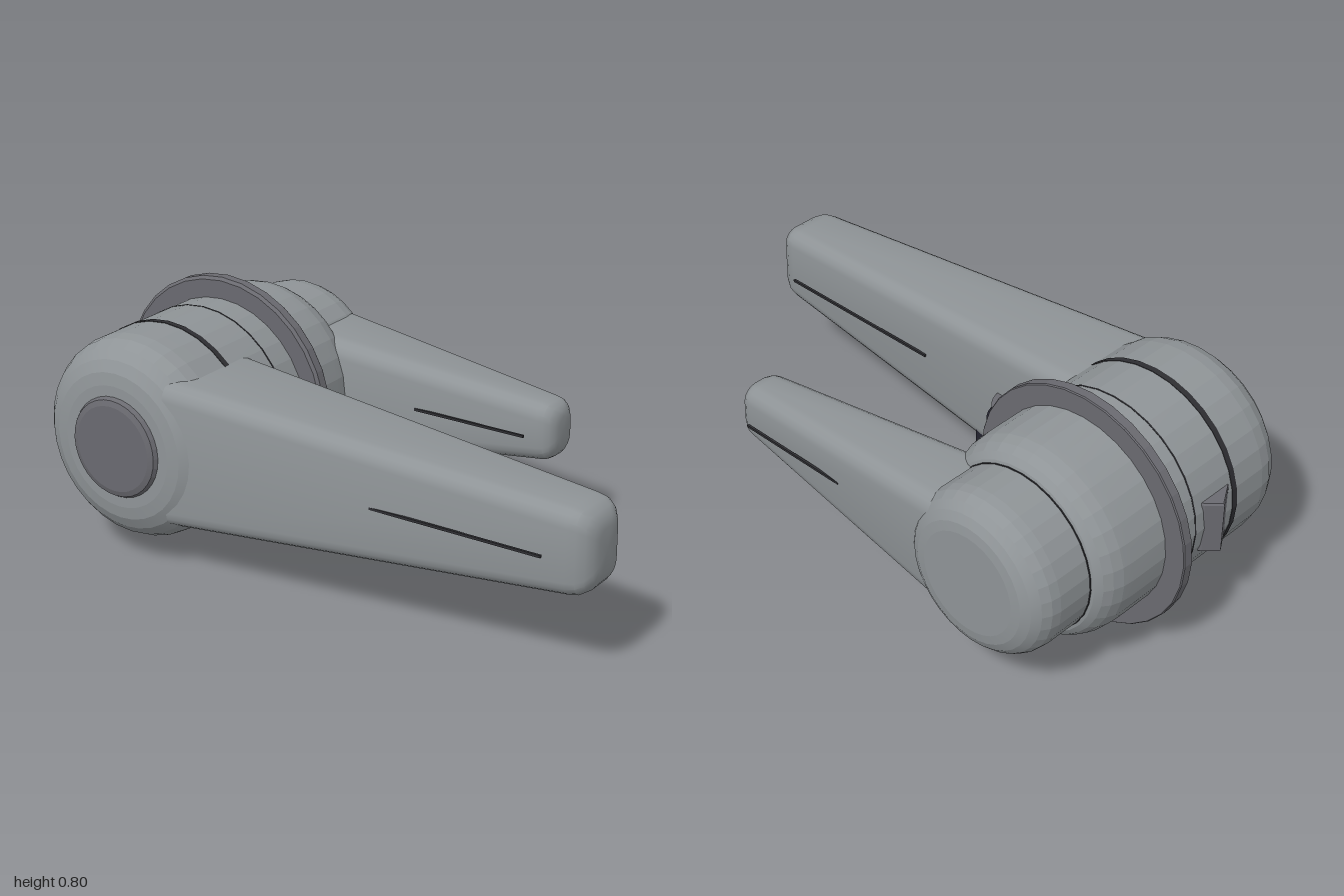
import * as THREE from 'three';
import { toCreasedNormals } from 'three/addons/utils/BufferGeometryUtils.js';

const AXIS_X = -0.605, AXIS_Y = 0.4, SEGMENTS = 32;

const material = (name, color) => {
  const m = new THREE.MeshStandardMaterial({ color });
  m.name = name;
  return m;
};

// Turned part around the spindle; profile is [radius, z] from back to front
function turned(profile) {
  const g = new THREE.LatheGeometry(profile.map(([r, z]) => new THREE.Vector2(r, z)), SEGMENTS);
  g.rotateX(Math.PI / 2);
  g.translate(AXIS_X, AXIS_Y, 0);
  return toCreasedNormals(g, 0.15);
}

// Quarter-round corner, from (r, z) on the wall to the end face in direction dir
function corner(r, z, sizeR, sizeZ, dir, steps = 5) {
  const points = [];
  for (let i = 0; i <= steps; i++) {
    const a = (i / steps) * Math.PI / 2;
    points.push([r - sizeR * (1 - Math.cos(a)), z + dir * sizeZ * Math.sin(a)]);
  }
  return dir < 0 ? points.reverse() : points;
}

// Tapered lever lofted along x; sections are [x, halfDepth, halfHeight, cornerRadius]
function lever(sections, zCentre) {
  const positions = [], index = [], steps = 4, ring = 4 * (steps + 1);
  for (const [x, hz, hy, r] of sections) {
    for (let q = 0; q < 4; q++) {
      const sz = q === 0 || q === 3 ? 1 : -1, sy = q < 2 ? 1 : -1;
      for (let i = 0; i <= steps; i++) {
        const a = (q + i / steps) * Math.PI / 2;
        positions.push(x, AXIS_Y + sy * (hy - r) + r * Math.sin(a), zCentre + sz * (hz - r) + r * Math.cos(a));
      }
    }
  }
  const last = (sections.length - 1) * ring, root = sections.length * ring;
  positions.push(sections[0][0], AXIS_Y, zCentre, sections.at(-1)[0], AXIS_Y, zCentre);
  for (let i = 0; i < ring; i++) {
    const n = (i + 1) % ring;
    for (let s = 0; s < last; s += ring) {
      index.push(s + i, s + ring + i, s + ring + n, s + i, s + ring + n, s + n);
    }
    index.push(root, i, n, root + 1, last + n, last + i);
  }
  const g = new THREE.BufferGeometry();
  g.setAttribute('position', new THREE.Float32BufferAttribute(positions, 3));
  g.setIndex(index);
  return toCreasedNormals(g, 0.5);
}

// Sections of a lever with a rounded tip
function leverSections(x0, x1, rootZ, rootY, tipZ, tipY, round) {
  const out = [[x0, rootZ, rootY, 0.055]];
  for (let i = 0; i <= 4; i++) {
    const a = (i / 4) * Math.PI / 2, inset = round * 0.85 * (1 - Math.cos(a));
    out.push([x1 - round * (1 - Math.sin(a)), tipZ - inset, tipY - inset, 0.05 - inset * 0.25]);
  }
  return out;
}

export function createModel() {
  const group = new THREE.Group();
  const metal = material('brushed grey metal', 0x8f9497);
  const trim = material('dark grey trim', 0x6a6a70);
  const seam = material('charcoal seam', 0x2e2e32);
  const black = material('blue black plastic', 0x22222e);

  const add = (name, geometry, mat, x = 0, y = 0, z = 0) => {
    const mesh = new THREE.Mesh(geometry, mat);
    mesh.name = name;
    mesh.position.set(x, y, z);
    group.add(mesh);
    return mesh;
  };

  // Round housing with the narrower rear cap
  add('housing', turned([
    [0, -0.32], [0.25, -0.32], ...corner(0.33, -0.2, 0.07, 0.12, -1),
    ...corner(0.33, 0.39, 0.13, 0.13, 1), [0, 0.52],
  ]), metal);
  add('rearCap', turned([
    [0, -0.54], ...corner(0.27, -0.44, 0.1, 0.1, -1), [0.27, -0.3], [0, -0.3],
  ]), metal);

  // Wall flange and front button
  add('flange', turned([
    [0, -0.06], [0.397, -0.06], [0.4, -0.056], [0.4, -0.026], [0.39, -0.018], [0, -0.018],
  ]), trim);
  add('frontButton', turned([
    [0, 0.5], [0.165, 0.5], [0.165, 0.522], [0.158, 0.534], [0.14, 0.54], [0, 0.54],
  ]), trim);

  // Seams running around the housing
  for (const [z, width, r] of [[0.256, 0.02, 0.332], [0.076, 0.005, 0.3312], [-0.317, 0.006, 0.2725]]) {
    add('seamRing', turned([
      [r - 0.01, z - width / 2], [r, z - width / 2], [r, z + width / 2], [r - 0.01, z + width / 2],
    ]), seam);
  }

  // Levers
  add('frontLever', lever(leverSections(-0.43, 1, 0.193, 0.24, 0.107, 0.133, 0.075), 0.312), metal);
  add('rearLever', lever(leverSections(-0.43, 0.465, 0.145, 0.187, 0.078, 0.096, 0.055), -0.374), metal);

  // Thin grip strips on both faces of each lever
  for (const [x0, x1, z] of [[0.25, 0.87, 0.455], [0.25, 0.87, 0.16], [-0.02, 0.385, -0.483], [-0.02, 0.385, -0.262]]) {
    add('gripStrip', new THREE.BoxGeometry(x1 - x0, 0.008, 0.008), seam, (x0 + x1) / 2, AXIS_Y, z);
  }

  // Thumb turn behind the front lever
  add('thumbDisc', new THREE.CylinderGeometry(0.115, 0.115, 0.046, 28), black, -0.185, 0.36, 0.152);
  add('thumbPlate', new THREE.CylinderGeometry(0.1, 0.1, 0.034, 28), trim, -0.185, 0.42, 0.152);
  add('thumbKnob', new THREE.SphereGeometry(0.09, 20, 12), metal, -0.2, AXIS_Y, 0.17);

  // Small stop peg under the front lever
  add('stopPeg', new THREE.BoxGeometry(0.034, 0.085, 0.074), black, -0.003, 0.195, 0.187);

  // Wedge-shaped catch on the outer side of the housing
  const wedge = new THREE.Shape([
    new THREE.Vector2(-0.968, -0.155), new THREE.Vector2(-0.9, -0.27), new THREE.Vector2(-0.9, -0.1),
    new THREE.Vector2(-0.93, -0.118),
  ]);
  const catchGeometry = new THREE.ExtrudeGeometry(wedge, {
    depth: 0.17, bevelEnabled: true, bevelSize: 0.004, bevelThickness: 0.006, bevelSegments: 1,
  });
  catchGeometry.rotateX(-Math.PI / 2);
  add('sideCatch', catchGeometry, trim, 0, 0.315, 0);

  return group;
}
